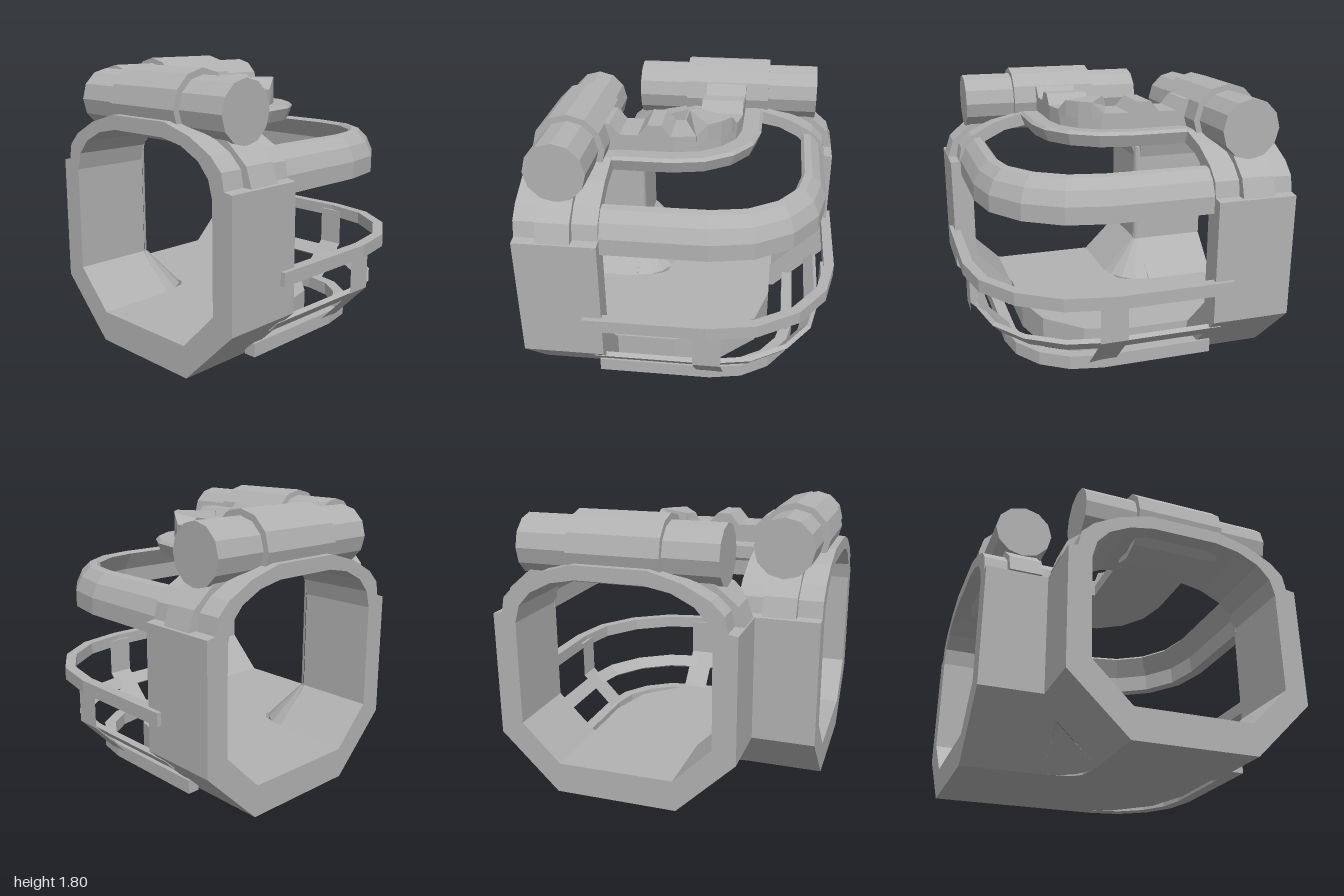
import * as THREE from 'three';

const MID = 0.18; // centre line of each portal
const metal = new THREE.MeshStandardMaterial({ color: 0xb2b2b2, flatShading: true });
metal.name = 'grey metal';

// Swap x and z: turns a part of the back arm into its twin on the side arm
function swapped(geo) {
  const g = geo.index ? geo.toNonIndexed() : geo.clone();
  const src = g.attributes.position.clone(), dst = g.attributes.position;
  for (let i = 0; i < src.count; i += 3) {
    [0, 2, 1].forEach((k, n) => dst.setXYZ(i + n, src.getZ(i + k), src.getY(i + k), src.getX(i + k)));
  }
  g.computeVertexNormals();
  return g;
}

// Stations along the bend; each maps a profile point (offset t, height y) to space
const sideStation = (x) => (t, y) => [x, y, t];
const backStation = (z) => (t, y) => [t, y, z];
const arcStation = (p, a) => (t, y) => [p + (t - p) * Math.sin(a), y, p + (t - p) * Math.cos(a)];
function bend(start, pivot, steps) {
  const list = [sideStation(start)];
  for (let i = 0; i <= steps; i++) list.push(arcStation(pivot, (i / steps) * Math.PI / 2));
  list.push(backStation(start));
  return list;
}

// Closed solid through equal-sized profiles placed at the stations
function loft(stations, profileAt) {
  const rings = stations.map((st, i) => profileAt(i).map(([t, y]) => st(t, y)));
  const n = rings[0].length, last = rings.length - 1;
  let tris = [];
  for (let i = 0; i < last; i++) {
    for (let j = 0; j < n; j++) {
      const k = (j + 1) % n;
      const a = rings[i][j], b = rings[i][k], c = rings[i + 1][k], d = rings[i + 1][j];
      tris.push([a, b, c], [a, c, d]);
    }
  }
  const flat = profileAt(0).map(([t, y]) => new THREE.Vector2(t, y));
  const ccw = !THREE.ShapeUtils.isClockWise(flat);
  for (const f of THREE.ShapeUtils.triangulateShape(flat, [])) {
    const [p, q, r] = ccw ? f : [f[0], f[2], f[1]];
    const s = ccw ? [p, r, q] : [p, q, r]; // opposes the side walls' ring order
    tris.push(s.map((v) => rings[0][v]), [s[0], s[2], s[1]].map((v) => rings[last][v]));
  }
  // outward faces: the enclosed volume must be positive
  const vol = tris.reduce((sum, [a, b, c]) => sum
    + a[0] * (b[1] * c[2] - b[2] * c[1]) + a[1] * (b[2] * c[0] - b[0] * c[2]) + a[2] * (b[0] * c[1] - b[1] * c[0]), 0);
  if (vol < 0) tris = tris.map(([a, b, c]) => [a, c, b]);
  const g = new THREE.BufferGeometry();
  g.setAttribute('position', new THREE.Float32BufferAttribute(tris.flat(2), 3));
  g.computeVertexNormals();
  return g;
}

// Right half outline (bottom to top) mirrored about the portal centre
function symmetric(half) {
  const right = half.map(([x, y]) => new THREE.Vector2(MID + x, y));
  const left = half.map(([x, y]) => new THREE.Vector2(MID - x, y)).reverse();
  return [...right, ...left];
}

function extrudeZ(shape, z0, z1) {
  const g = new THREE.ExtrudeGeometry(shape, { depth: z1 - z0, bevelEnabled: false });
  g.translate(0, 0, z0);
  return g;
}

export function createModel() {
  const model = new THREE.Group();
  const add = (name, geo) => {
    const m = new THREE.Mesh(geo, metal);
    m.name = name;
    model.add(m);
  };
  const addPair = (name, geo) => {
    add(name + 'Back', geo);
    add(name + 'Side', swapped(geo));
  };

  // Portal frames with arched tops
  const frame = new THREE.Shape(symmetric([
    [0.4, 0], [0.78, 0.37], [0.78, 1.17], [0.72, 1.18], [0.7, 1.28], [0.62, 1.36], [0.45, 1.45], [0.24, 1.51],
  ]));
  frame.holes.push(new THREE.Path(symmetric([
    [0.38, 0.2], [0.63, 0.45], [0.63, 1.12], [0.6, 1.23], [0.52, 1.32], [0.38, 1.39], [0.22, 1.42],
  ])));
  addPair('portalFrame', extrudeZ(frame, -1, -0.48));

  // Raised rib over each arch
  const outerRib = [[0.78, 1.18], [0.74, 1.3], [0.6, 1.42], [0.43, 1.49], [0.24, 1.53]];
  const innerRib = [[0.7, 1.18], [0.65, 1.29], [0.54, 1.38], [0.4, 1.43], [0.22, 1.46]];
  const rib = new THREE.Shape([...symmetric(outerRib), ...symmetric(innerRib).reverse()]);
  addPair('archRib', extrudeZ(rib, -0.85, -0.64));

  // Tanks lying across the arches
  for (const [name, r, len] of [['tank', 0.19, 1.28], ['tankSleeve', 0.23, 0.59]]) {
    const g = new THREE.CylinderGeometry(r, r, len, 12);
    g.rotateZ(Math.PI / 2);
    g.translate(0.175, 1.575, -0.74);
    addPair(name, g);
  }

  // Floor of the bend, laid flat from an outline in x and z
  const outline = [[-0.48, -0.22], [-0.48, 0.55]];
  for (let i = 0; i <= 3; i++) {
    const a = (i / 3) * Math.PI / 2;
    outline.push([-0.08 + 0.63 * Math.sin(a), -0.08 + 0.63 * Math.cos(a)]);
  }
  outline.push([0.55, -0.48], [-0.22, -0.48], [-0.25, -0.3], [-0.3, -0.25]);
  const floor = extrudeZ(new THREE.Shape(outline.map(([x, z]) => new THREE.Vector2(x, -z))), 0, 0.2);
  floor.rotateX(-Math.PI / 2);
  add('floor', floor);

  // Inner corner post with a flared foot
  const post = [[0, 0.25], [0.26, 0], [0.27, 0.2], [0.04, 0.45], [0.04, 1.2], [0, 1.2]];
  const postGeo = new THREE.LatheGeometry(post.map(([r, y]) => new THREE.Vector2(r, y)), 4, 0, Math.PI / 2);
  postGeo.translate(-0.48, 0, -0.48);
  add('cornerPost', postGeo);

  // Roof track
  const sweep = (name, start, pivot, steps, profile) => add(name, loft(bend(start, pivot, steps), () => profile));
  sweep('roofTrack', -0.48, -0.1, 4, [
    [-0.1, 1.42], [0.41, 1.42], [0.44, 1.5], [0.42, 1.52], [-0.1, 1.5],
  ]);
  sweep('rackBase', -0.56, -0.1, 4, [[0.03, 1.47], [0.31, 1.47], [0.31, 1.62], [0.03, 1.62]]);

  // Rack teeth: two on each arm and one on the corner
  const tooth = (heights) => (i) => [[0.03, 1.58], [0.31, 1.58], [0.31, heights[i]], [0.03, heights[i]]];
  const lowHigh = [1.62, 1.69, 1.69, 1.62];
  addPair('rackTooth', loft([-0.33, -0.27, -0.18, -0.12].map(backStation), tooth(lowHigh)));
  addPair('endTooth', loft([-0.62, -0.58, -0.51, -0.45].map(backStation), tooth(lowHigh)));
  const angles = [20, 31, 45, 59, 70].map((d) => arcStation(-0.1, THREE.MathUtils.degToRad(d)));
  add('cornerTooth', loft(angles, tooth([1.62, 1.69, 1.69, 1.69, 1.62])));

  // Rails round the outside of the bend
  sweep('upperBeam', -0.5, MID, 4, [
    [0.89, 1.08], [0.89, 1.19], [0.85, 1.28], [0.79, 1.34], [0.74, 1.35], [0.72, 1.33], [0.8, 1.2], [0.81, 1.08],
  ]);
  sweep('guardRail', -0.6, MID, 4, [[0.92, 0.57], [0.99, 0.57], [0.99, 0.655], [0.92, 0.655]]);
  sweep('middleRail', -0.56, MID, 4, [[0.84, 0.24], [0.905, 0.31], [0.88, 0.33], [0.81, 0.26]]);
  sweep('lowerRail', -0.57, MID, 4, [[0.65, 0.04], [0.73, 0.04], [0.73, 0.13], [0.65, 0.13]]);

  // Cranked struts joining the rails
  const strut = [[0.96, 0.62], [0.96, 0.34], [0.7, 0.07], [0.65, 0.1], [0.9, 0.36], [0.9, 0.62]];
  addPair('strut', loft([0.09, 0.27].map(backStation), () => strut));

  return model;
}
